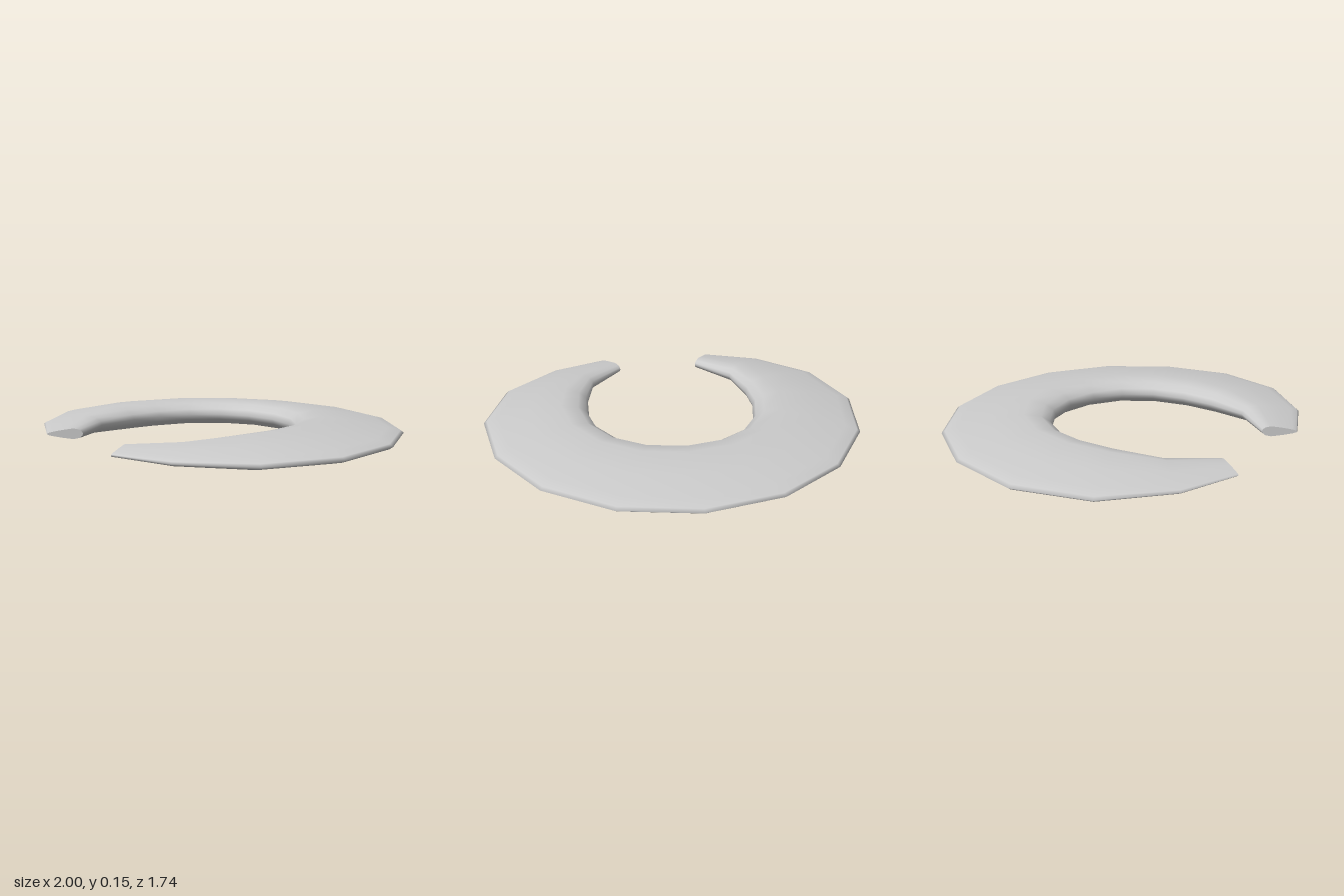
import * as THREE from 'three';

// Half of the crescent, from the back middle to the tip:
// inner x, inner z, outer x, outer z, half thickness
const HALF = [
  [0, -0.315, 0, -0.873, 0.073],
  [0.17, -0.283, 0.383, -0.798, 0.073],
  [0.315, -0.19, 0.707, -0.582, 0.073],
  [0.41, -0.043, 0.925, -0.257, 0.073],
  [0.448, 0.13, 1, 0.125, 0.073],
  [0.445, 0.3, 0.893, 0.493, 0.068],
  [0.4, 0.522, 0.623, 0.75, 0.048],
  [0.228, 0.72, 0.327, 0.868, 0.027],
];

// Upper edge of the section: blunt at the inner rim, tapering to the outer rim
const EDGE = [[0, 0], [0.025, 0.4], [0.1, 0.78], [0.26, 1], [0.58, 0.72], [0.86, 0.38], [0.97, 0.17], [1, 0]];
const LOOP = [...EDGE, ...EDGE.slice(1, -1).reverse().map(([t, h]) => [t, -h])];
const MID_Y = 0.073;

function sectionPoints([ix, iz, ox, oz, half]) {
  return LOOP.map(([t, h]) => [ix + (ox - ix) * t, MID_Y + h * half, iz + (oz - iz) * t]);
}

function indexed(points, index) {
  const geometry = new THREE.BufferGeometry();
  geometry.setAttribute('position', new THREE.Float32BufferAttribute(points.flat(), 3));
  geometry.setIndex(index);
  geometry.computeVertexNormals();
  return geometry;
}

export function createModel() {
  const group = new THREE.Group();
  group.name = 'crescentRing';
  const material = new THREE.MeshStandardMaterial({ color: 0xcccccc });
  const add = (name, geometry) => {
    const mesh = new THREE.Mesh(geometry, material);
    mesh.name = name;
    group.add(mesh);
  };

  // Mirror the half to run from the right tip round the back to the left tip
  const mirrored = HALF.slice(1).reverse().map(([ix, iz, ox, oz, h]) => [-ix, iz, -ox, oz, h]);
  const sections = [...mirrored, ...HALF].map(sectionPoints);

  // Smooth body
  const n = LOOP.length;
  const index = [];
  for (let i = 0; i < sections.length - 1; i++) {
    for (let j = 0; j < n; j++) {
      const k = (j + 1) % n;
      const a = i * n + j, b = a + n, c = i * n + k, d = c + n;
      index.push(a, b, c, b, d, c);
    }
  }
  add('body', indexed(sections.flat(), index));

  // Flat caps on the two tips
  const fan = [];
  for (let j = 1; j < n - 1; j++) fan.push(0, j, j + 1);
  add('rightTip', indexed(sections[0], fan));
  add('leftTip', indexed(sections[sections.length - 1], [...fan].reverse()));

  return group;
}
